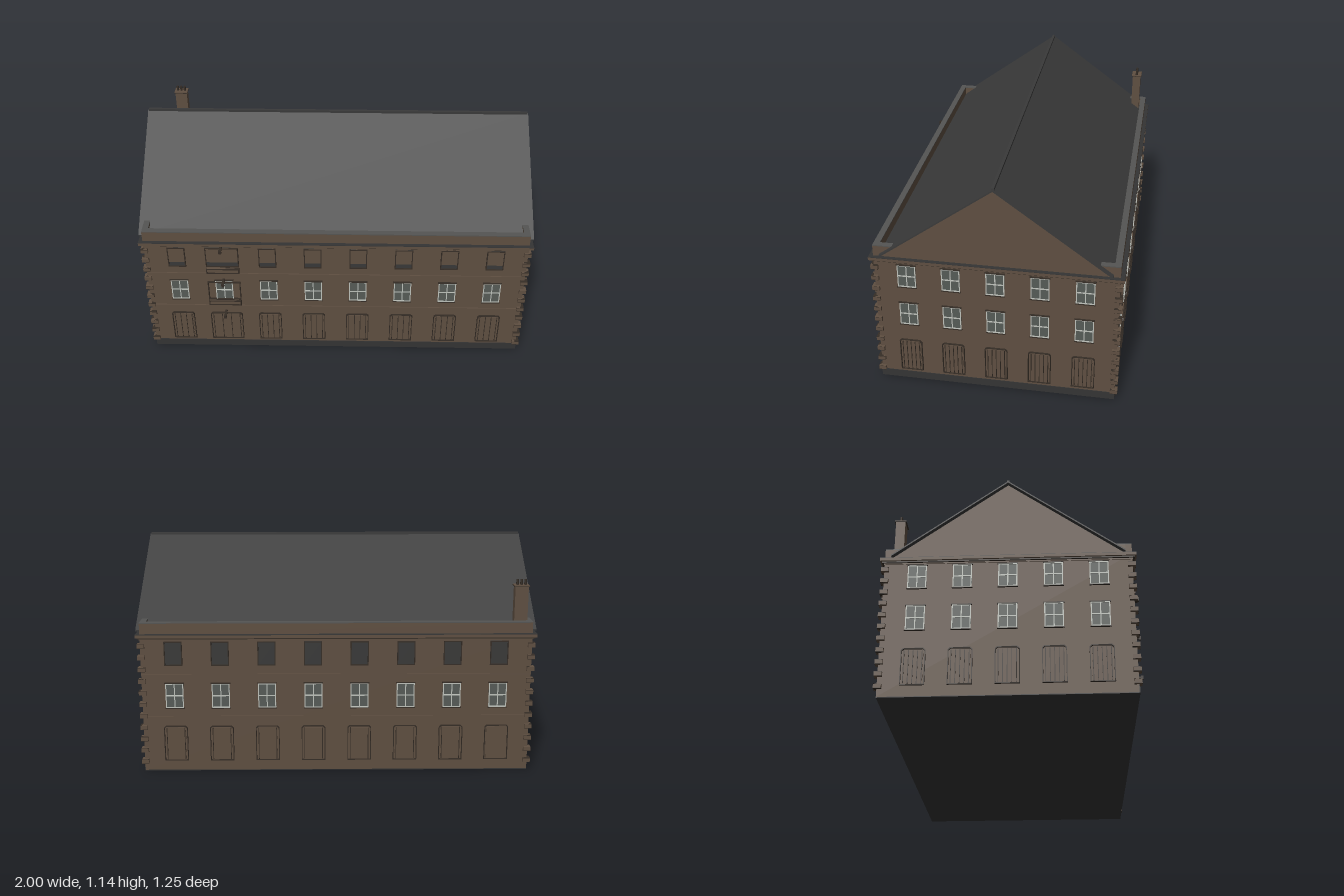
import * as THREE from 'three';

const mat = (name, color) => {
  const m = new THREE.MeshStandardMaterial({ color });
  m.name = name;
  return m;
};

export function createModel() {
  const brick = mat('brown stone', 0x5f4f41);
  const trim = mat('dark trim', 0x352d26);
  const slate = mat('roof slate', 0x3a3a3a);
  const plinthMat = mat('plinth grey', 0x343434);
  const lead = mat('lead capping', 0x555553);
  const white = mat('window frame', 0xbfc3bc);
  const glass = mat('window glass', 0x565b57);
  const darkGlass = mat('dark glass', 0x393938);

  const model = new THREE.Group();
  model.name = 'building';
  const W = 0.975, ZF = 0.57, ZB = -0.605, ZC = (ZF + ZB) / 2, HD = (ZF - ZB) / 2;

  const add = (parent, name, geo, m, x = 0, y = 0, z = 0) => {
    const mesh = new THREE.Mesh(geo, m);
    mesh.name = name;
    mesh.position.set(x, y, z);
    parent.add(mesh);
    return mesh;
  };
  // Box given by its centre in x and z, and its bottom and top in y
  const box = (parent, name, m, w, y0, y1, d, x = 0, z = 0) =>
    add(parent, name, new THREE.BoxGeometry(w, y1 - y0, d), m, x, (y0 + y1) / 2, z);

  // Main block, floor plate and plinth on the front and left sides
  box(model, 'walls', brick, 2 * W, 0.004, 0.72, 2 * HD, 0, ZC);
  box(model, 'floorPlate', plinthMat, 2 * W, 0, 0.004, 2 * HD, 0, ZC);
  box(model, 'frontPlinth', plinthMat, 2 * W + 0.004, 0, 0.04, 0.004, 0, ZF + 0.001);
  box(model, 'sidePlinth', plinthMat, 0.004, 0, 0.04, 2 * HD, W + 0.001, ZC);

  // Stepped cornice
  [[0.688, 0.694, 0.004, brick], [0.694, 0.701, 0.012, trim], [0.701, 0.716, 0.02, brick]]
    .forEach(([y0, y1, o, m]) => box(model, 'cornice', m, 2 * (W + o), y0, y1, 2 * (HD + o), 0, ZC));
  box(model, 'corniceFlashing', plinthMat, 2 * (W + 0.02), 0.716, 0.718, 2 * (HD + 0.02), 0, ZC);

  // Parapet with capping
  const T = 0.03;
  for (const [y0, y1, m, n] of [[0.718, 0.771, brick, 'parapet'], [0.771, 0.776, lead, 'parapetCap']]) {
    for (const s of [-1, 1]) {
      box(model, n, m, 2 * W, y0, y1, T, 0, ZC + s * (HD - T / 2));
      box(model, n, m, T, y0, y1, 2 * (HD - T), s * (W - T / 2), ZC);
    }
  }

  // Prism with a z-y outline, running along x
  const prism = (name, pts, len, m) => {
    const geo = new THREE.ExtrudeGeometry(
      new THREE.Shape(pts.map(p => new THREE.Vector2(p[0], p[1]))), { depth: len, bevelEnabled: false });
    geo.translate(0, 0, -len / 2);
    geo.rotateY(Math.PI / 2);
    return add(model, name, geo, m, 0, 0, ZC);
  };
  const half = 0.555, eave = 0.723, top = 1.128, t = 0.008;
  prism('gables', [[-half, eave], [half, eave], [0, top]], 2 * W + 0.002, brick);
  prism('roof', [[-half, eave], [0, top], [half, eave], [half, eave + t], [0, top + t], [-half, eave + t]], 2, slate);
  box(model, 'ridge', slate, 1.99, 1.128, 1.143, 0.014, 0, ZC);

  // Corner quoins
  for (const sx of [-1, 1]) for (const sz of [-1, 1]) {
    const g = new THREE.Group();
    g.name = 'quoins';
    g.position.set(sx * W, 0, ZC + sz * HD);
    model.add(g);
    for (let i = 0; i < 11; i++) {
      const y = 0.042 + i * 0.0605;
      box(g, 'quoin', brick, 0.036, y, y + 0.022, 0.036, -sx * 0.004, -sz * 0.004);
      for (const e of [0, 0.0205]) box(g, 'quoinJoint', trim, 0.037, y + e, y + e + 0.0015, 0.037, -sx * 0.004, -sz * 0.004);
    }
  }

  // Rectangular outline lying on a facade
  const outline = (g, name, m, x, y0, y1, w, b, d) => {
    for (const s of [-1, 1]) box(g, name, m, b, y0, y1, d, x + s * (w - b) / 2, d / 2);
    box(g, name, m, w, y0, y0 + b, d, x, d / 2);
    box(g, name, m, w, y1 - b, y1, d, x, d / 2);
  };

  // Sash window: glass, frame and cross bars
  const sash = (g, x, y0, y1) => {
    const w = 0.09;
    box(g, 'glass', glass, w, y0, y1, 0.003, x, 0.0015);
    outline(g, 'windowFrame', white, x, y0, y1, w, 0.005, 0.006);
    box(g, 'glazingBar', white, 0.005, y0, y1, 0.005, x, 0.0025);
    box(g, 'glazingBar', white, w, (y0 + y1) / 2 - 0.003, (y0 + y1) / 2 + 0.003, 0.005, x, 0.0025);
    box(g, 'lintel', trim, w + 0.008, y1, y1 + 0.004, 0.01, x, 0.004);
    box(g, 'sill', trim, w + 0.006, y0 - 0.004, y0, 0.01, x, 0.004);
  };

  // Attic window with a blind over the upper part
  const blindWindow = (g, x, w, covered) => {
    const y0 = 0.557, y1 = 0.68;
    box(g, 'glass', darkGlass, w, y0, y1, 0.003, x, 0.0015);
    if (covered) box(g, 'blind', brick, w, y0 + 0.03, y1, 0.005, x, 0.0025);
    outline(g, 'windowSurround', trim, x, y0, y1, w, 0.005, 0.008);
  };

  // Door with a frame cut at the upper corners
  const doorPath = (P, w, y0, y1, c) => {
    const p = new P();
    p.moveTo(-w, y0); p.lineTo(w, y0); p.lineTo(w, y1 - c); p.lineTo(w - c, y1);
    p.lineTo(c - w, y1); p.lineTo(-w, y1 - c); p.closePath();
    return p;
  };
  const door = (g, x, w, planks) => {
    const s = doorPath(THREE.Shape, w / 2, 0.057, 0.241, 0.01);
    s.holes.push(doorPath(THREE.Path, w / 2 - 0.004, 0.061, 0.237, 0.009));
    add(g, 'doorFrame', new THREE.ExtrudeGeometry(s, { depth: 0.009, bevelEnabled: false }), trim, x);
    box(g, 'doorPanel', brick, w - 0.02, 0.061, 0.23, 0.004, x, 0.002);
    for (let i = 0; i < planks; i++) {
      const px = x + (i / (planks - 1) - 0.5) * (w - 0.03);
      box(g, 'plankJoint', trim, 0.0035, 0.063, 0.23, 0.007, px, 0.0035);
    }
  };

  const facade = (name, x, z, turn) => {
    const g = new THREE.Group();
    g.name = name;
    g.position.set(x, 0, z);
    g.rotation.y = turn;
    model.add(g);
    return g;
  };
  const bays = (n, step) => Array.from({ length: n }, (_, i) => (i - (n - 1) / 2) * step);

  // Front and back, eight bays each
  for (const front of [true, false]) {
    const g = facade(front ? 'frontFacade' : 'backFacade', 0, front ? ZF : ZB, front ? 0 : Math.PI);
    for (const y of [0.285, 0.505]) box(g, 'stringCourse', brick, 2 * W, y, y + 0.008, 0.006, 0, 0.002);
    bays(8, 0.232).forEach((x, i) => {
      const special = front && i === 1;
      blindWindow(g, x, special ? 0.17 : 0.09, front);
      sash(g, x, 0.337, 0.464);
      if (!front && i === 7) {
        box(g, 'groundWindow', glass, 0.085, 0.065, 0.23, 0.003, x, 0.0015);
        door(g, x, 0.12, 0);
      } else door(g, x, special ? 0.17 : 0.12, front ? 4 : 2);
      if (!special) return;
      // Entrance bay: wide surrounds, shallow balconies and lamp brackets
      outline(g, 'bayFrame', trim, x, 0.337, 0.455, 0.17, 0.005, 0.01);
      for (const y of [0.302, 0.518]) {
        box(g, 'balcony', brick, 0.165, y, y + 0.03, 0.012, x, 0.006);
        outline(g, 'balconyEdge', trim, x, y, y + 0.03, 0.17, 0.005, 0.015);
      }
      for (const y of [0.253, 0.47, 0.69]) {
        box(g, 'bracket', trim, 0.012, y - 0.004, y + 0.004, 0.05, x, 0.025);
        box(g, 'bracketEnd', trim, 0.014, y - 0.01, y + 0.01, 0.012, x, 0.049);
      }
    });
  }

  // Two gable sides, five bays each
  for (const s of [-1, 1]) {
    const g = facade(s > 0 ? 'leftFacade' : 'rightFacade', s * W, ZC, s * Math.PI / 2);
    for (const x of bays(5, 0.2145)) {
      sash(g, x, 0.556, 0.678);
      sash(g, x, 0.336, 0.462);
      door(g, x, 0.113, 5);
    }
  }

  // Chimney at the back corner with three pots
  const chimney = facade('chimney', -0.92, -0.545, 0);
  box(chimney, 'stack', brick, 0.066, 0.7, 0.945, 0.046);
  box(chimney, 'stackCap', trim, 0.076, 0.945, 0.948, 0.058);
  box(chimney, 'stackTop', brick, 0.074, 0.948, 0.952, 0.056);
  for (const x of [-0.02, 0, 0.02])
    add(chimney, 'pot', new THREE.CylinderGeometry(0.006, 0.007, 0.028, 10), trim, x, 0.966);

  return model;
}
